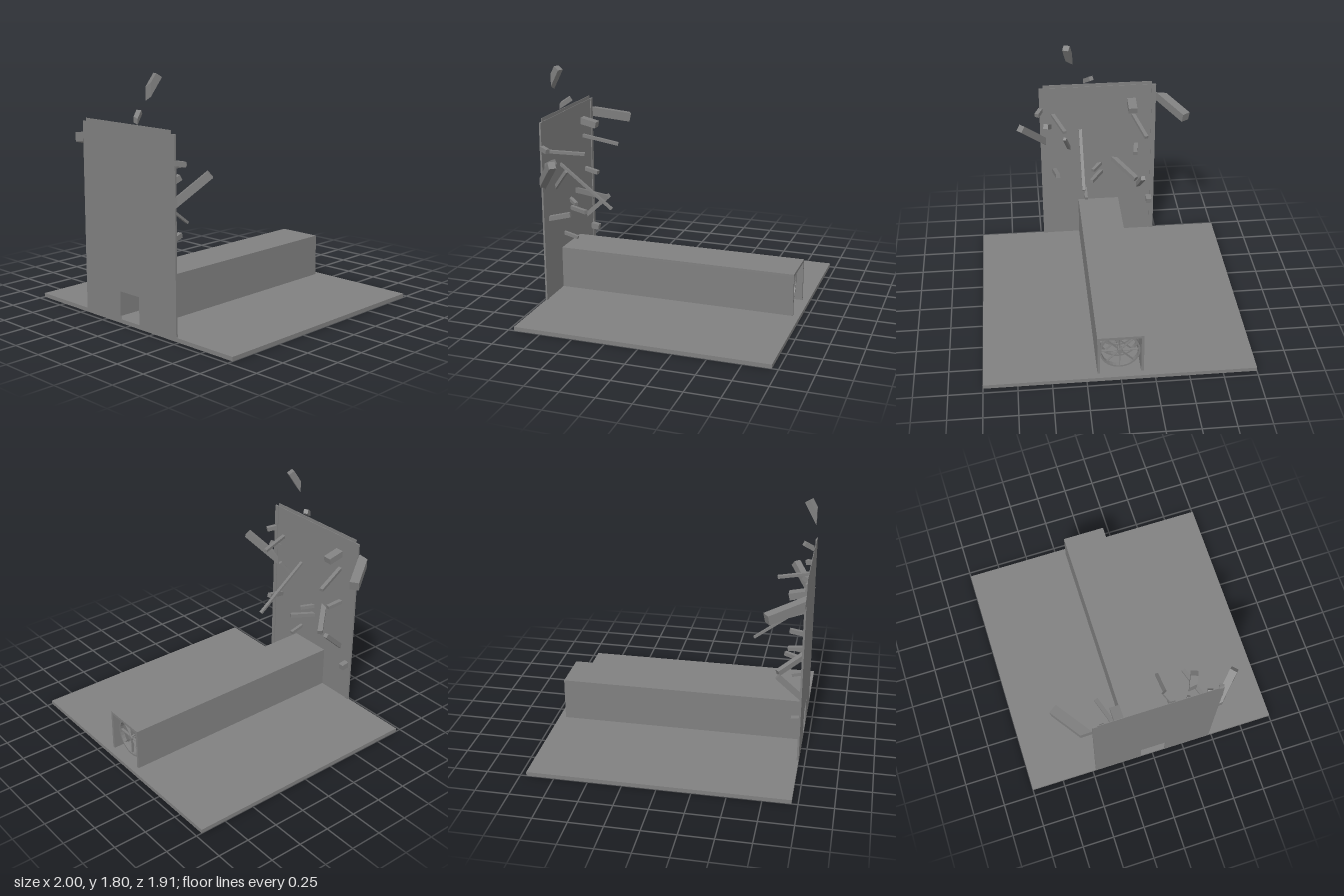
import * as THREE from 'three';

const FRONT = 0.955;

export function createModel() {
  const model = new THREE.Group();
  const grey = new THREE.MeshStandardMaterial({ color: 0x808080 });
  grey.name = 'concrete grey';

  const add = (name, geometry, parent = model) => {
    const mesh = new THREE.Mesh(geometry, grey);
    mesh.name = name;
    parent.add(mesh);
    return mesh;
  };
  const box = (name, x0, x1, y0, y1, z0, z1, parent) => {
    const mesh = add(name, new THREE.BoxGeometry(x1 - x0, y1 - y0, z1 - z0), parent);
    mesh.position.set((x0 + x1) / 2, (y0 + y1) / 2, (z0 + z1) / 2);
    return mesh;
  };

  // Ground slab
  box('base', -1, 1, 0, 0.03, -FRONT, FRONT);

  // Upright wall with a doorway at its foot
  const outline = new THREE.Shape([
    [-0.475, 0.03], [-0.1, 0.03], [-0.1, 0.235], [0.1, 0.235], [0.1, 0.03],
    [0.475, 0.03], [0.475, 1.42], [-0.475, 1.42],
  ].map(([x, y]) => new THREE.Vector2(x, y)));
  const wall = add('wall', new THREE.ExtrudeGeometry(outline, { depth: 0.008, bevelEnabled: false }));
  wall.position.z = FRONT - 0.008;
  box('wallTopStrip', -0.44, 0.44, 1.42, 1.445, FRONT - 0.004, FRONT);
  for (const s of [-1, 1]) {
    const strip = box('wallSideStrip', -0.0175, 0.0175, 0.03, 1.42, FRONT - 0.014, FRONT - 0.008);
    strip.position.x = s * 0.4575;
  }

  // Tunnel running back from the wall, open at the rear
  const tunnel = new THREE.Group();
  tunnel.name = 'tunnel';
  model.add(tunnel);
  box('tunnelRoof', -0.17, 0.17, 0.335, 0.355, -0.905, FRONT - 0.008, tunnel);
  box('tunnelLeftWall', 0.15, 0.17, 0.03, 0.335, -0.905, FRONT - 0.008, tunnel);
  box('tunnelRightWall', -0.17, -0.15, 0.03, 0.335, -0.905, FRONT - 0.008, tunnel);

  // Spoked wheels inside the tunnel
  const ring = new THREE.Shape().absarc(0, 0, 0.15, 0, Math.PI * 2);
  ring.holes.push(new THREE.Path().absarc(0, 0, 0.137, 0, Math.PI * 2, true));
  const ringGeometry = new THREE.ExtrudeGeometry(ring, { depth: 0.03, bevelEnabled: false, curveSegments: 16 });
  ringGeometry.translate(0, 0, -0.015);
  const hubGeometry = new THREE.CylinderGeometry(0.02, 0.02, 0.04, 16).rotateX(Math.PI / 2);
  const spokeGeometry = new THREE.BoxGeometry(0.125, 0.004, 0.02).translate(0.0775, 0, 0);
  for (const z of [-0.84, -0.72, -0.6]) {
    const wheel = new THREE.Group();
    wheel.name = 'wheel';
    wheel.position.set(0, 0.186, z);
    tunnel.add(wheel);
    add('wheelRing', ringGeometry, wheel);
    add('wheelHub', hubGeometry, wheel);
    for (let i = 0; i < 8; i++) add('wheelSpoke', spokeGeometry, wheel).rotation.z = i * Math.PI / 4;
  }

  // Square beam from a point on the wall plane to its tip; the wall end is cut flush
  const beam = (bx, by, tx, ty, tz, w, h = w) => {
    const base = new THREE.Vector3(bx, by, FRONT);
    const tip = new THREE.Vector3(tx, ty, tz);
    const dir = tip.clone().sub(base).normalize();
    const side = new THREE.Vector3(0, 1, 0).cross(dir).normalize();
    const up = dir.clone().cross(side);
    const geometry = new THREE.BoxGeometry(w, h, 1).toNonIndexed();
    const pos = geometry.attributes.position;
    const v = new THREE.Vector3();
    for (let i = 0; i < pos.count; i++) {
      const atTip = pos.getZ(i) > 0;
      v.copy(atTip ? tip : base).addScaledVector(side, pos.getX(i)).addScaledVector(up, pos.getY(i));
      if (!atTip) v.addScaledVector(dir, (FRONT - v.z) / dir.z);
      pos.setXYZ(i, v.x, v.y, v.z);
    }
    geometry.computeVertexNormals();
    add('debrisBeam', geometry);
  };

  // Debris: wall x, y, then tip x, y, z, then width and height
  [
    [-0.52, 1.3, -0.685, 1.235, 0.705, 0.07],
    [0.46, 0.95, 0.635, 1.155, 0.785, 0.055],
    [0.225, 1.68, 0.25, 1.79, 0.89, 0.05],
    [0.095, 1.475, 0.055, 1.525, 0.885, 0.035],
    [0.145, 1.03, 0.15, 0.705, 0.53, 0.025, 0.018],
    [0.37, 1.18, 0.285, 1.16, 0.68, 0.03, 0.022],
    [-0.29, 1.15, -0.37, 1.08, 0.68, 0.03, 0.025],
    [-0.275, 1.28, -0.275, 1.25, 0.82, 0.07, 0.05],
    [0.24, 0.86, 0.28, 1.01, 0.84, 0.025],
    [0.37, 0.655, 0.345, 0.695, 0.785, 0.035],
    [-0.03, 0.625, 0.07, 0.63, 0.78, 0.03],
    [-0.02, 0.7, 0.05, 0.68, 0.87, 0.028],
    [0.11, 0.46, 0.11, 0.43, 0.835, 0.025],
    [-0.13, 0.74, -0.3, 0.645, 0.76, 0.04],
    [-0.34, 0.47, -0.36, 0.645, 0.765, 0.035],
    [-0.43, 0.35, -0.43, 0.34, 0.885, 0.045],
    [-0.32, 0.87, -0.3, 0.848, 0.83, 0.035, 0.03],
    [0.4, 1.07, 0.43, 1.12, 0.865, 0.04],
    [0.46, 1.23, 0.5, 1.215, 0.88, 0.035],
  ].forEach((d) => beam(...d));

  return model;
}
